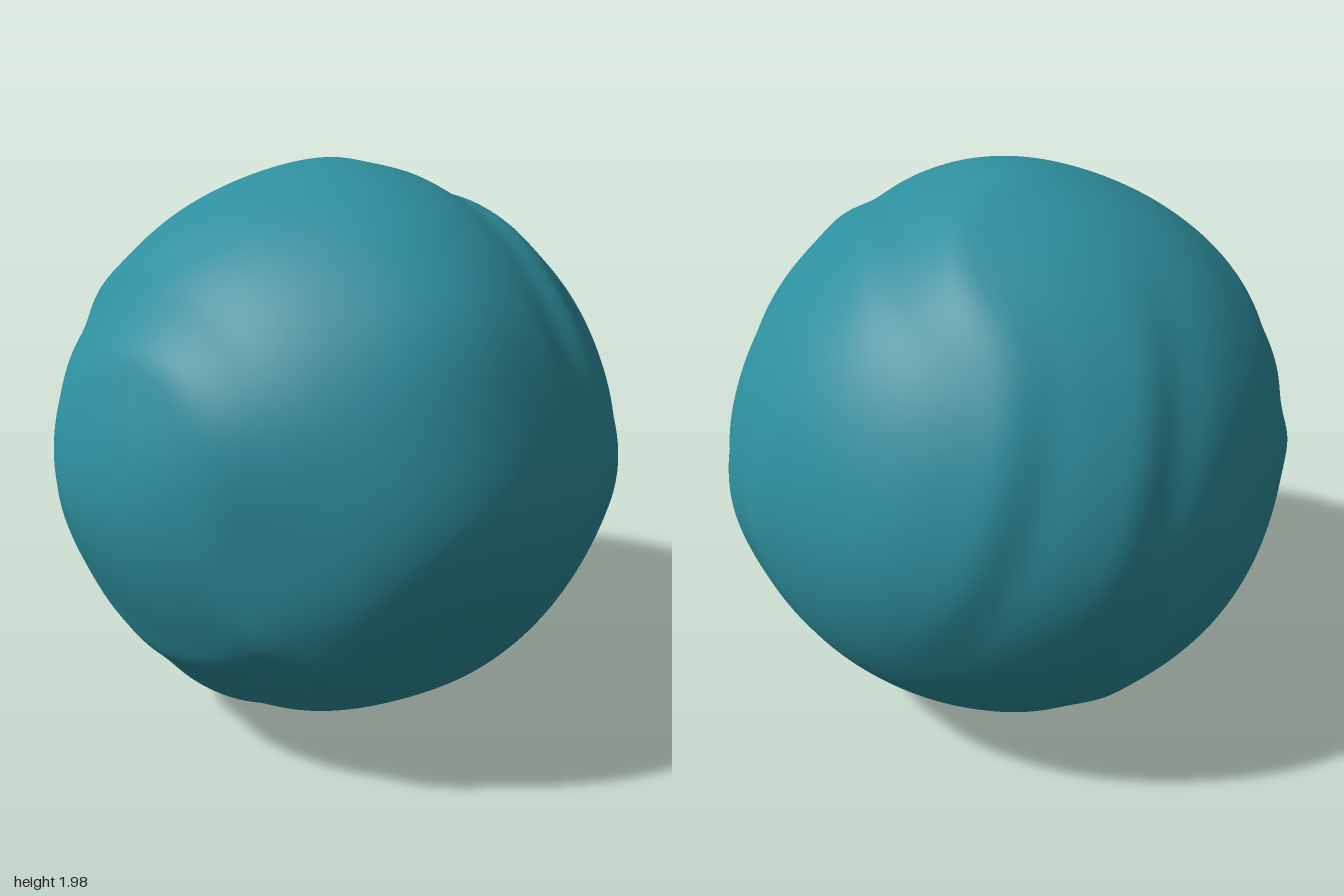
import * as THREE from 'three';
import { mergeVertices } from 'three/addons/utils/BufferGeometryUtils.js';

const dir = (x, y, z) => new THREE.Vector3(x, y, z).normalize();

// Each swirl: a centre and the midpoints of the curved steps that wrap around it
const swirls = [
  { centre: dir(-0.2, 0.1, 0.97), steps: [ // front
    [0.52, 0.05, 0.85], [0.7, 0.15, 0.7], [0.87, 0.25, 0.4], [-0.5, -0.5, 0.7], [-0.15, -0.7, 0.68]] },
  { centre: dir(0.6, 0, -0.8), steps: [ // left side, lower folds
    [0.94, -0.25, 0.28], [0.97, -0.25, 0.05], [0.97, -0.2, -0.2]] },
  { centre: dir(0.9, 0.25, 0.1), steps: [ // left side, upper rim
    [0.5, 0.4, 0.76], [0.45, 0.87, 0.12]] },
  { centre: dir(-0.15, 0.85, -0.5), steps: [ // top
    [0.36, 0.85, -0.35], [-0.78, 0.6, -0.2]] },
  { centre: dir(0.92, 0.35, -0.2), steps: [ // upper back left
    [0.3, 0.25, -0.9], [-0.15, 0.38, -0.91]] },
  { centre: dir(-0.62, -0.5, -0.6), steps: [ // lower back right
    [-0.51, -0.85, -0.09], [-0.08, -0.38, -0.92], [-0.92, 0.08, -0.36], [-0.2, -0.97, 0.1]] },
  { centre: dir(-0.9, 0.1, 0.3), steps: [ // right side
    [-0.8, 0.55, 0.25], [-0.75, -0.6, 0.25]] },
];
const ridges = swirls.flatMap(({ centre, steps }) => steps.map((s) => {
  const mid = dir(...s);
  return { centre, mid, angle: centre.angleTo(mid) };
}));

// Broad swellings and hollows: direction, height
const swells = [
  // around the x-y outline
  [1, -0.08, 0, 0.027], [-1, 0, 0, 0.032], [0, 1, 0, 0.02], [0.62, 0.74, 0, -0.016],
  [0.8, -0.58, 0, 0.016], [0.35, -0.93, 0, 0.015], [-0.14, -0.98, 0, 0.022],
  [-0.62, -0.78, 0, 0.03], [-0.93, 0.33, 0, 0.016],
  // around the x-z outline
  [0.62, 0, -0.76, 0.02], [-0.6, 0, -0.75, -0.022], [-0.95, 0, 0.32, 0.012],
  [-0.58, 0, 0.76, -0.035], [-0.25, 0, 0.95, 0.015], [0.47, 0, 0.88, 0.022],
  [0.72, 0, 0.7, 0.018], [0.93, 0, 0.42, 0.02],
  // around the y-z outline
  [0, 0.08, 1, 0.015], [0, 0.6, 0.8, 0.04], [0, 0.86, 0.5, 0.025], [0, 0, -1, 0.012],
  [0, -0.46, 0.84, -0.03], [0, -0.9, 0.42, -0.02], [0, -0.86, -0.5, 0.01],
].map(([x, y, z, height]) => ({ at: dir(x, y, z), height }));

// Surface radius: swells, plus steps raised inside, dipping outside, fading along the arc
function radius(d) {
  let r = 0.967;
  for (const { at, height } of swells) {
    r += height * Math.exp(-((d.angleTo(at) / 0.27) ** 2));
  }
  for (const { centre, mid, angle } of ridges) {
    const t = (d.angleTo(centre) - angle) / 0.11;
    const fade = Math.exp(-((d.angleTo(mid) / 0.45) ** 2));
    r -= 0.024 * t * Math.exp(-t * t) * fade;
  }
  return r;
}

export function createModel() {
  const teal = new THREE.MeshStandardMaterial({ color: 0x2e8f9e });
  teal.name = 'teal';

  // Sphere pushed in and out by the swells and ridges
  let geo = new THREE.IcosahedronGeometry(1, 40);
  geo.deleteAttribute('normal');
  geo.deleteAttribute('uv');
  geo = mergeVertices(geo, 1e-5);
  const pos = geo.attributes.position;
  const v = new THREE.Vector3();
  for (let i = 0; i < pos.count; i++) {
    v.fromBufferAttribute(pos, i).normalize();
    v.multiplyScalar(radius(v));
    pos.setXYZ(i, v.x, v.y, v.z);
  }

  // Stand it on the ground
  geo.computeBoundingBox();
  geo.translate(0, -geo.boundingBox.min.y, 0);
  geo.computeVertexNormals();

  const ball = new THREE.Mesh(geo, teal);
  ball.name = 'foldedBall';
  const group = new THREE.Group();
  group.name = 'model';
  group.add(ball);
  return group;
}
